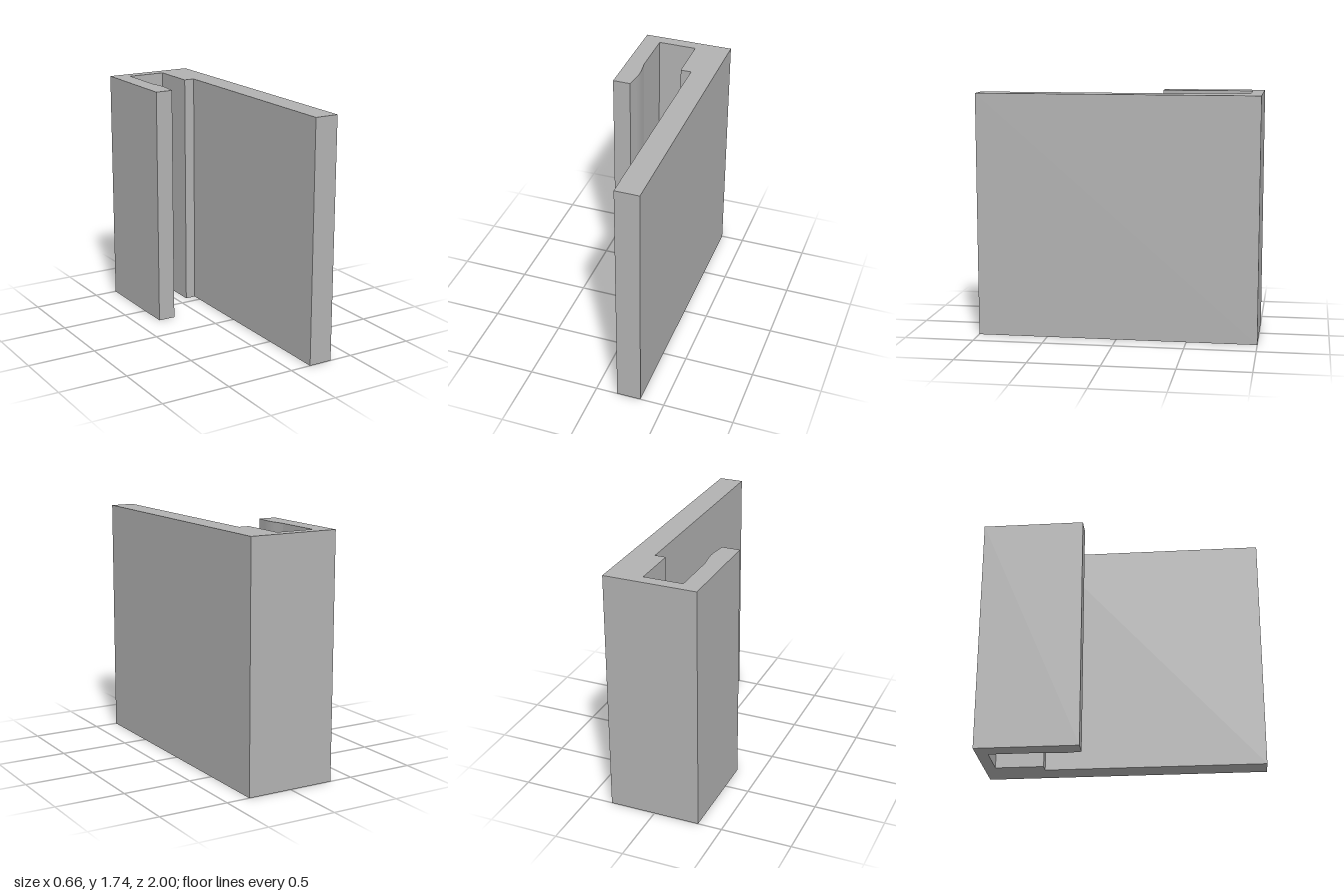
import * as THREE from 'three';

export function createModel() {
  const group = new THREE.Group();
  group.name = 'hookedPanelProfile';
  const grey = new THREE.MeshStandardMaterial({ color: 0xb2b2b2 });
  grey.name = 'plain grey';

  // Cross-section in plan: long plate, closed back and short gripping lip (shape y = -z)
  const s = new THREE.Shape();
  s.moveTo(0.328, -1);
  s.lineTo(0.328, 1);
  s.lineTo(-0.328, 1);
  s.lineTo(-0.328, 0.27);
  s.lineTo(-0.2, 0.27);
  // rounded bump inside the lip
  s.lineTo(-0.186, 0.37);
  s.quadraticCurveTo(-0.181, 0.42, -0.186, 0.47);
  s.lineTo(-0.2, 0.57);
  // slot and step in the plate
  s.lineTo(-0.2, 0.917);
  s.lineTo(0.078, 0.917);
  s.lineTo(0.078, 0.573);
  s.lineTo(0.155, 0.573);
  s.lineTo(0.155, -1);
  s.closePath();

  const geometry = new THREE.ExtrudeGeometry(s, { depth: 1.74, bevelEnabled: false, curveSegments: 8 });
  geometry.rotateX(-Math.PI / 2); // stand the extrusion upright

  const profile = new THREE.Mesh(geometry, grey);
  profile.name = 'clipProfile';
  group.add(profile);
  return group;
}
